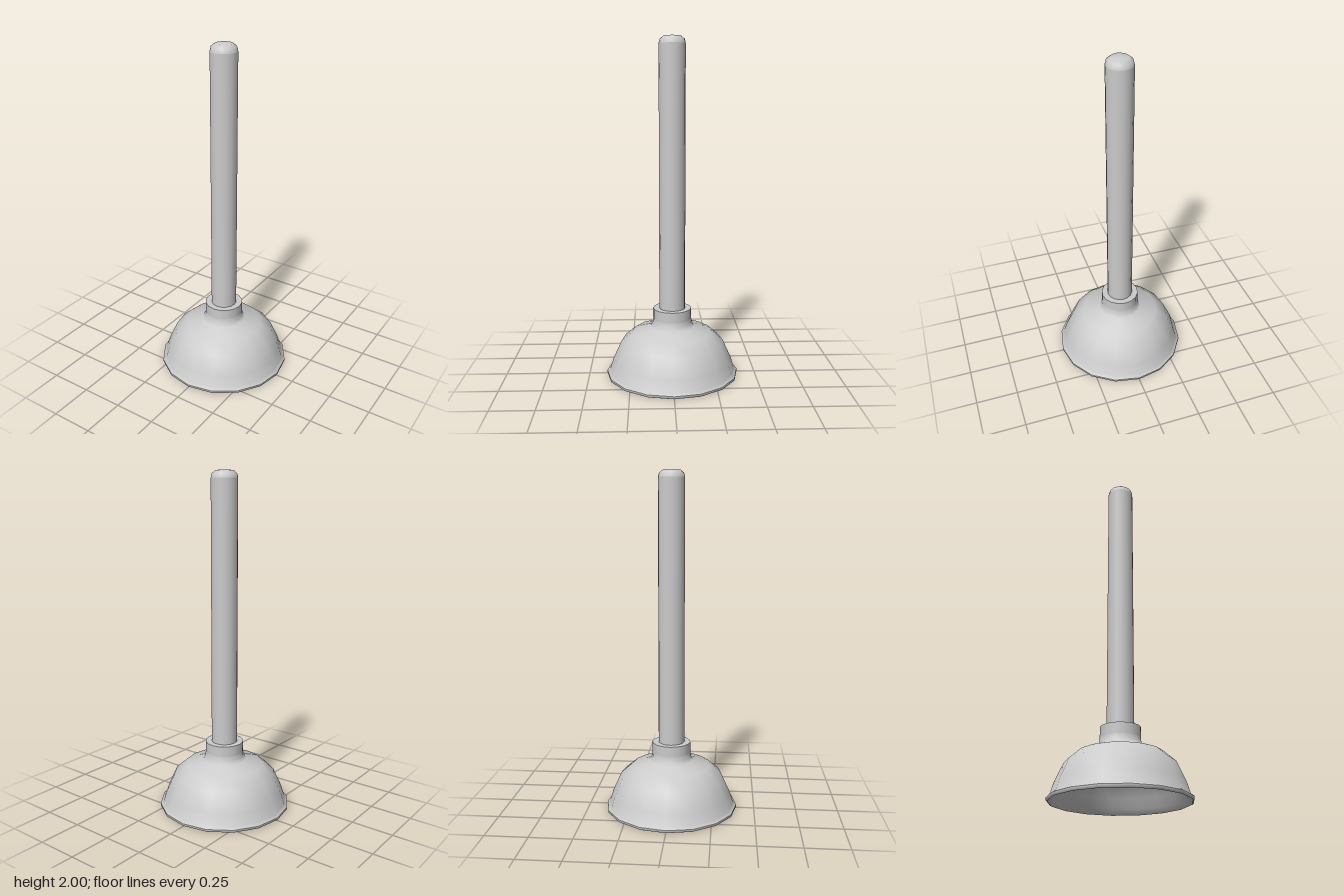
import * as THREE from 'three';

const material = new THREE.MeshStandardMaterial({ color: 0xcccccc, side: THREE.DoubleSide });
const SIDES = 16;

// Revolve a [radius, height] profile; outer walls run upward
function lathe(name, profile) {
  const points = profile.map(([r, y]) => new THREE.Vector2(r, y));
  const mesh = new THREE.Mesh(new THREE.LatheGeometry(points, SIDES), material);
  mesh.name = name;
  return mesh;
}

export function createModel() {
  const model = new THREE.Group();
  model.name = 'plunger';

  // Rubber cup: hollow inside, thin rim, domed outside
  const cup = new THREE.Group();
  cup.name = 'cup';
  cup.add(
    lathe('cupInside', [[0, 0.27], [0.12, 0.265], [0.22, 0.24], [0.29, 0.185], [0.34, 0.085], [0.36, 0.03], [0.385, 0]]),
    lathe('cupRim', [[0.385, 0], [0.393, 0.005], [0.393, 0.018]]),
    lathe('cupOutside', [[0.393, 0.018], [0.375, 0.03], [0.355, 0.095], [0.305, 0.205], [0.235, 0.265], [0.13, 0.295], [0.117, 0.32], [0.114, 0.345]]),
  );

  // Collar gripping the handle
  const collar = new THREE.Group();
  collar.name = 'collar';
  collar.add(
    lathe('collarWall', [[0.114, 0.345], [0.114, 0.408]]),
    lathe('collarTop', [[0.114, 0.408], [0.07, 0.408]]),
  );

  // Straight handle with a rounded end
  const handle = new THREE.Group();
  handle.name = 'handle';
  handle.add(
    lathe('handleShaft', [[0.077, 0.3], [0.077, 1.955]]),
    lathe('handleTip', [[0.077, 1.955], [0.071, 1.98], [0.05, 1.997], [0, 2]]),
  );

  model.add(cup, collar, handle);
  return model;
}
